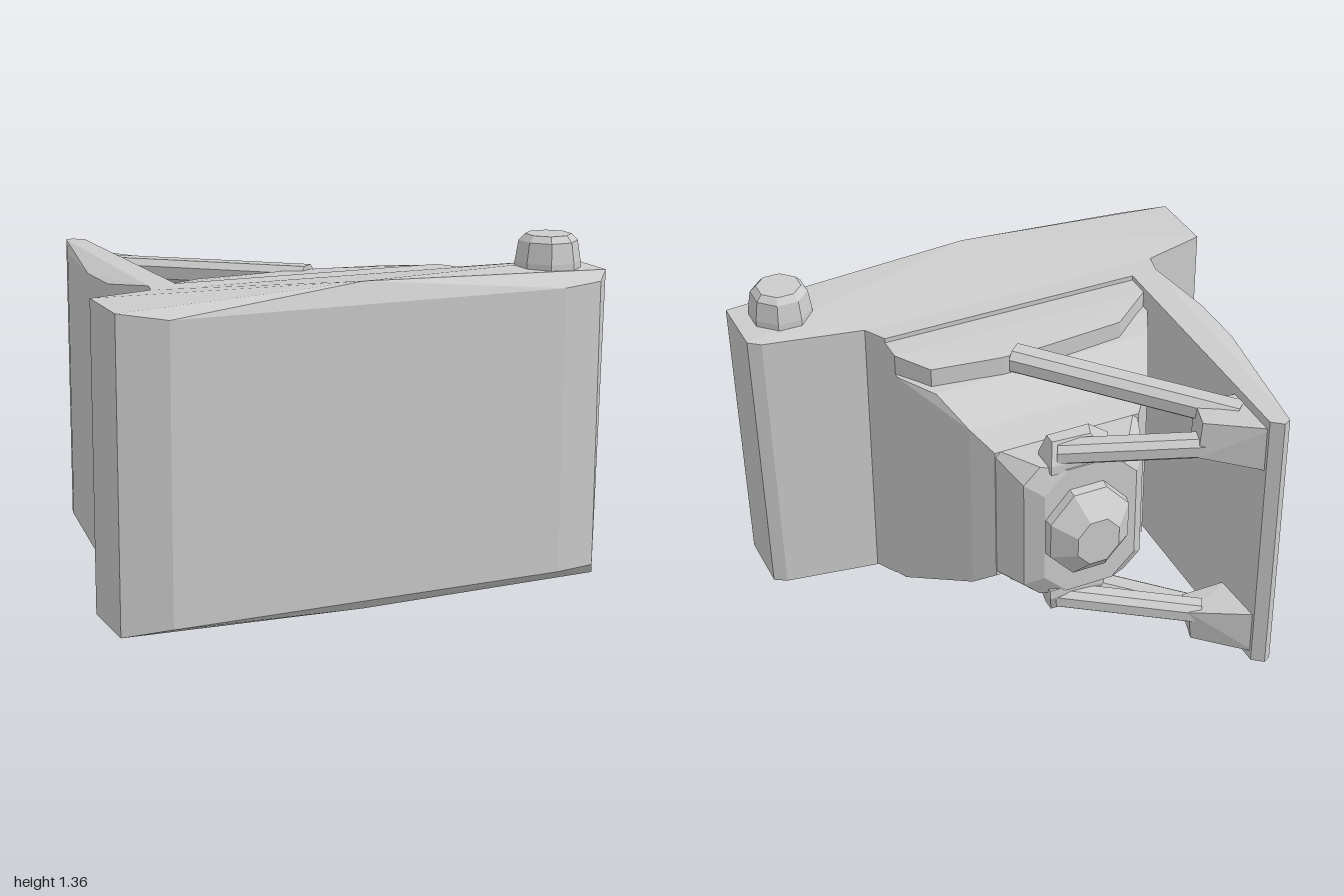
import * as THREE from 'three';
import { ConvexGeometry } from 'three/addons/geometries/ConvexGeometry.js';

const material = new THREE.MeshStandardMaterial({ color: 0xcccccc, flatShading: true });

// Faceted solid spanned by corner points [x, y, z]
function hull(name, corners) {
  const mesh = new THREE.Mesh(new ConvexGeometry(corners.map((c) => new THREE.Vector3(...c))), material);
  mesh.name = name;
  return mesh;
}

// Plan points [x, z] repeated at two heights
const prism = (plan, y0, y1) => plan.flatMap(([x, z]) => [[x, y0, z], [x, y1, z]]);

// Rectangle with cut corners, facing along z
function section(z, x0, x1, y0, y1, cut) {
  const pts = [];
  for (const [x, sx] of [[x0, 1], [x1, -1]])
    for (const [y, sy] of [[y0, 1], [y1, -1]])
      pts.push([x + sx * cut, y, z], [x, y + sy * cut, z]);
  return pts;
}

// Ring of points around the lens axis
const ring = (z, r, n = 8) => Array.from({ length: n }, (_, i) => {
  const a = ((i + 0.5) / n) * Math.PI * 2;
  return [-0.05 + 0.88 * r * Math.cos(a), 0.61 + r * Math.sin(a), z];
});

// Tapered bar between two points; w is across, h is vertical
function bar(name, a, b, w, h, flip) {
  const len = Math.hypot(b[0] - a[0], b[2] - a[2]);
  const nx = -(b[2] - a[2]) / len, nz = (b[0] - a[0]) / len;
  const pts = [];
  for (const p of [a, b]) {
    for (const [s, t] of [[1, 0.5], [1, -0.5], [-1, 0.5], [-1, -0.5], [0.5, 1], [-0.5, 1], [0.5, -1], [-0.5, -1]])
      pts.push([p[0] + nx * s * w / 2, flip(p[1] + t * h / 2), p[2] + nz * s * w / 2]);
  }
  return hull(name, pts);
}

export function createModel() {
  const model = new THREE.Group();
  model.name = 'foldingCamera';

  // Main body with bevelled front and a bowed top edge
  model.add(hull('body', [
    [-0.82, 0.03, 0.84], [0.78, 0.05, 0.84], [-0.82, 1.18, 0.84], [0.78, 1.18, 0.84],
    [-1, 0, 0.77], [-0.05, 0, 0.81], [0.98, 0, 0.76],
    [0.95, 0.05, 0.81], [0.95, 1.19, 0.81],
    [-1, 1.205, 0.77], [-0.05, 1.26, 0.8], [1, 1.225, 0.76],
    ...prism([[-1, 0.48], [-0.74, 0.41], [0.54, 0.41]], 0, 1.21),
    [0.98, 0, 0.5], [1, 1.225, 0.5], [0.93, 0, 0.47], [0.95, 1.22, 0.47],
  ]));

  // Stepped rear frame
  model.add(hull('rearFrame', prism([[-0.74, 0.43], [0.54, 0.43], [0.54, 0.41], [0.49, 0.32], [-0.72, 0.32], [-0.74, 0.41]], 0.005, 1.21)));

  // Tapering bellows housing and its top plate
  model.add(hull('bellows', [
    ...prism([[-0.61, 0.33], [0.49, 0.33]], 0.005, 1.12),
    [-0.61, 0.07, 0.2], [0.49, 0.07, 0.2], [-0.61, 1.12, 0.18], [0.49, 1.1, 0.2],
    [-0.55, 1.1, 0.06], [0.39, 1.09, 0.04],
    [-0.46, 0.23, -0.12], [0.32, 0.23, -0.12], [-0.46, 1.0, -0.12], [0.32, 1.0, -0.12],
    [-0.38, 0.3, -0.2], [0.25, 0.3, -0.2], [-0.38, 0.92, -0.2], [0.25, 0.92, -0.2],
  ]));
  model.add(hull('topPlate', [
    ...prism([[-0.61, 0.33], [0.49, 0.33], [0.49, 0.22], [-0.61, 0.22]], 1.08, 1.19),
    ...prism([[0.39, 0.09], [0.1, 0.05], [-0.06, 0.05], [-0.43, 0.08]], 1.08, 1.175),
  ]));

  // Lens board and lens
  model.add(hull('lensBoard', [
    ...section(-0.19, -0.38, 0.25, 0.3, 0.92, 0.02),
    ...section(-0.36, -0.32, 0.2, 0.285, 0.925, 0.07),
    ...section(-0.405, -0.27, 0.13, 0.3, 0.91, 0.1),
  ]));
  model.add(hull('lens', [...ring(-0.39, 0.22), ...ring(-0.44, 0.21), ...ring(-0.52, 0.11)]));

  // Open door, slightly domed on its outside
  model.add(hull('door', [
    ...prism([[-0.61, 0.33], [-0.72, 0.33], [-0.61, -0.81], [-0.655, -0.845], [-0.685, -0.83]], 0.01, 1.21),
    ...prism([[-0.79, 0.05], [-0.79, -0.2], [-0.72, -0.7]], 0.04, 1.175),
  ]));

  // Folding struts above and below the lens, mirrored about mid height
  for (const [side, flip] of [['upper', (y) => y], ['lower', (y) => 1.215 - y]]) {
    const struts = new THREE.Group();
    struts.name = side + 'Struts';
    struts.add(bar('longStrut', [0.04, 1.145, 0.07], [-0.6, 1.12, -0.62], 0.12, 0.1, flip));
    struts.add(bar('shortStrut', [0.05, 0.97, -0.35], [-0.47, 1.03, -0.63], 0.1, 0.09, flip));
    struts.add(hull('doorBracket', [
      [-0.63, 0.97, -0.81], [-0.63, 1.17, -0.81], [-0.63, 0.99, -0.55], [-0.63, 1.17, -0.55],
      [-0.4, 1.0, -0.65], [-0.42, 1.15, -0.64], [-0.44, 1.02, -0.52], [-0.46, 1.15, -0.5],
    ].map(([x, y, z]) => [x, flip(y), z])));
    struts.add(hull('boardLug', [
      ...prism([[-0.2, -0.28], [0.1, -0.28], [0.1, -0.4], [-0.14, -0.4]], flip(0.9), flip(0.94)),
      ...prism([[-0.1, -0.31], [0.08, -0.31], [0.08, -0.36], [-0.08, -0.37]], flip(0.94), flip(1.03)),
    ]));
    model.add(struts);
  }

  // Winding knob
  const profile = [[0, 0], [0.128, 0], [0.128, 0.04], [0.115, 0.12], [0.09, 0.145], [0, 0.145]].map((p) => new THREE.Vector2(...p));
  const knob = new THREE.Mesh(new THREE.LatheGeometry(profile, 8), material);
  knob.name = 'windingKnob';
  knob.position.set(0.81, 1.215, 0.64);
  knob.rotation.y = Math.PI / 8;
  model.add(knob);

  return model;
}
